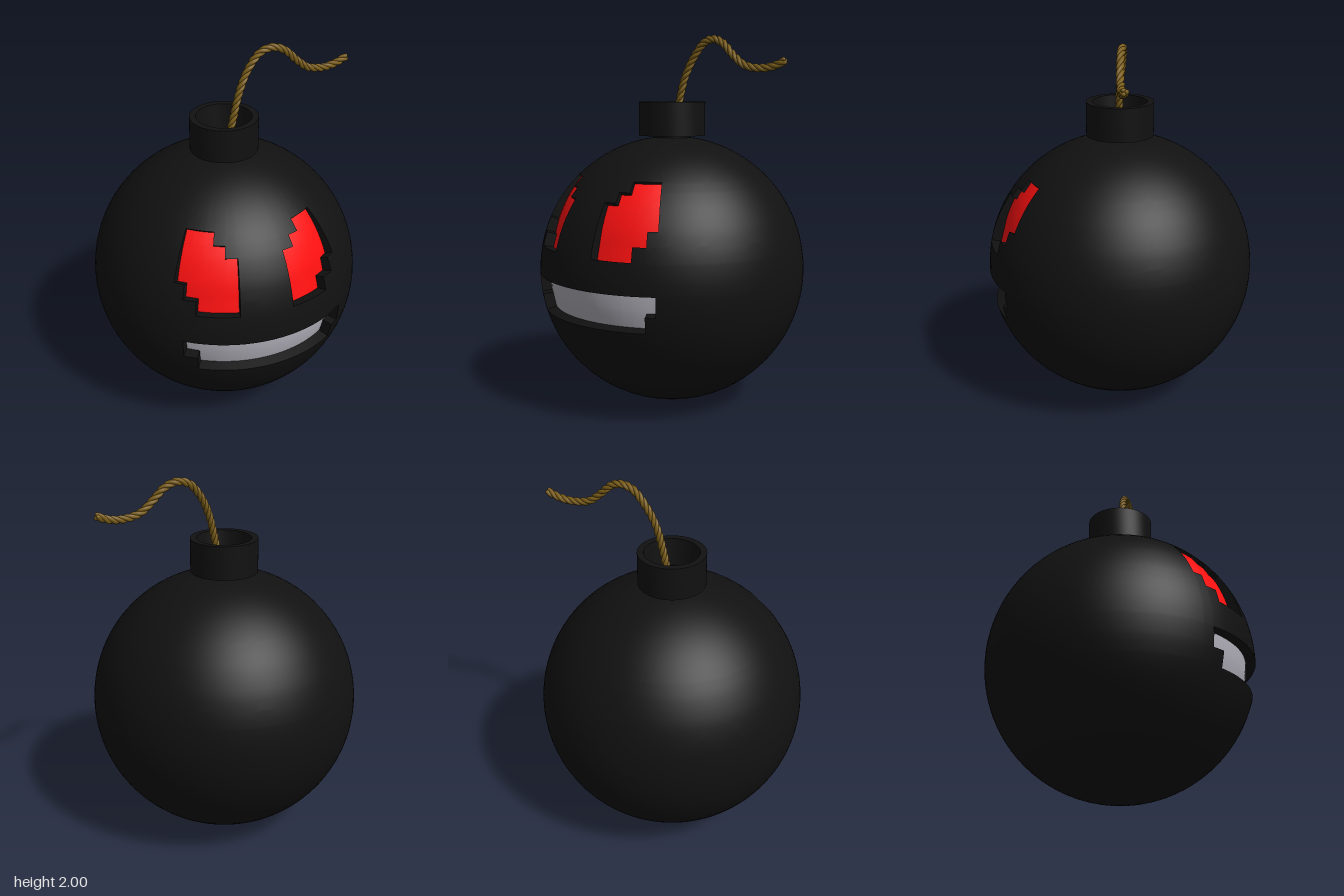
import * as THREE from 'three';
import { toCreasedNormals } from 'three/addons/utils/BufferGeometryUtils.js';

const R = 0.732, CY = 0.733;

// Stepped face openings as blocks of [lon0, lon1, lat0, lat1] in degrees
const eyeCols = [11.4, 17.6, 23.6, 29.5, 35.3, 39.9]; // measured from the face centre line
const FACE = -5.8;
const eyeRows = [ // [inner column, outer column, lat0, lat1]
  [0, 3, 12.1, 18.1],
  [0, 4, 18.1, 24.3],
  [0, 5, 24.3, 35.5],
  [1, 5, 35.5, 40.5],
  [2, 5, 40.5, 46],
];
const eyes = [];
for (const [i, o, a0, a1] of eyeRows) {
  eyes.push([FACE + eyeCols[i], FACE + eyeCols[o], a0, a1]);
  eyes.push([FACE - eyeCols[o], FACE - eyeCols[i], a0, a1]);
}
const mouth = [[-40.5, 33.5, -8.9, -0.7], [-34.7, 29.2, -15.8, -8.9]];

const inside = (blocks, lon, lat) =>
  blocks.some(([l0, l1, a0, a1]) => lon > l0 && lon < l1 && lat > a0 && lat < a1);
const zoneAt = (lon, lat) =>
  inside(eyes, lon, lat) ? 'eyes' : inside(mouth, lon, lat) ? 'mouth' : 'body';

// The recess grows shallower towards the top of the eyes
const floorRadius = lat => 0.678 + 0.037 * THREE.MathUtils.clamp((lat - 18) / 28, 0, 1);

function point(lon, lat, r) {
  const a = THREE.MathUtils.degToRad(lat), l = THREE.MathUtils.degToRad(lon);
  return [r * Math.cos(a) * Math.sin(l), CY + r * Math.sin(a), r * Math.cos(a) * Math.cos(l)];
}

// Even grid lines plus every block edge
function gridLines(min, max, step, edges) {
  const lines = [...edges];
  for (let v = min; v <= max + 1e-6; v += step) {
    if (!edges.some(e => Math.abs(e - v) < 0.6)) lines.push(v);
  }
  return [...new Set(lines.map(v => +v.toFixed(3)))].sort((a, b) => a - b);
}

// Sphere shell with sunken eyes and mouth, returned as one geometry per zone
function buildShell() {
  const blocks = [...eyes, ...mouth];
  const lons = gridLines(-180, 180, 3.75, blocks.flatMap(b => [b[0], b[1]]));
  const lats = gridLines(-90, 90, 3.75, blocks.flatMap(b => [b[2], b[3]]));
  const out = { body: [], eyes: [], mouth: [] };
  const quad = (zone, a, b, c, d) => out[zone].push(...a, ...b, ...c, ...a, ...c, ...d);
  const mid = (v, i) => (v[i] + v[i + 1]) / 2;

  for (let j = 0; j < lats.length - 1; j++) {
    for (let i = 0; i < lons.length - 1; i++) {
      const zone = zoneAt(mid(lons, i), mid(lats, j));
      const corners = [[i, j], [i + 1, j], [i + 1, j + 1], [i, j + 1]]
        .map(([u, v]) => [lons[u], lats[v]]);
      const floor = corners.map(([l, a]) => point(l, a, zone === 'body' ? R : floorRadius(a)));
      quad(zone, ...floor);
      if (zone === 'body') continue;
      // Walls wherever a sunken cell meets the outer skin
      [[0, -1], [1, 0], [0, 1], [-1, 0]].forEach(([di, dj], k) => {
        if (zoneAt(mid(lons, i + di), mid(lats, j + dj)) !== 'body') return;
        const n = (k + 1) % 4;
        quad('body', point(...corners[k], R), point(...corners[n], R), floor[n], floor[k]);
      });
    }
  }
  return out;
}

function geometryFrom(positions) {
  const g = new THREE.BufferGeometry();
  g.setAttribute('position', new THREE.Float32BufferAttribute(positions, 3));
  g.computeVertexNormals();
  return toCreasedNormals(g, 0.6);
}

// Three strands twisted round a curved path
function buildFuse(material) {
  const fuse = new THREE.Group();
  fuse.name = 'fuse';
  const path = new THREE.CatmullRomCurve3([
    [0.02, 1.49, 0.005], [0.055, 1.65, 0.005], [0.09, 1.78, 0], [0.145, 1.89, -0.01],
    [0.21, 1.962, -0.012], [0.275, 1.98, -0.008], [0.34, 1.958, 0], [0.41, 1.895, 0.004],
    [0.48, 1.843, 0.003], [0.57, 1.825, 0], [0.65, 1.833, -0.007], [0.715, 1.857, -0.012],
  ].map(p => new THREE.Vector3(...p)));
  const N = 160, TURNS = 9, STRANDS = 3;
  const frames = path.computeFrenetFrames(N);
  for (let s = 0; s < STRANDS; s++) {
    const pts = [];
    for (let i = 0; i <= N; i++) {
      const a = 2 * Math.PI * (s / STRANDS + TURNS * i / N);
      pts.push(path.getPointAt(i / N)
        .addScaledVector(frames.normals[i], 0.010 * Math.cos(a))
        .addScaledVector(frames.binormals[i], 0.010 * Math.sin(a)));
    }
    const strand = new THREE.Mesh(
      new THREE.TubeGeometry(new THREE.CatmullRomCurve3(pts), 260, 0.0115, 8), material);
    strand.name = 'fuseStrand';
    const tip = new THREE.Mesh(new THREE.SphereGeometry(0.0115, 8, 6), material);
    tip.name = 'fuseTip';
    tip.position.copy(pts[N]);
    fuse.add(strand, tip);
  }
  return fuse;
}

export function createModel() {
  const group = new THREE.Group();
  const mat = color => new THREE.MeshStandardMaterial({ color });
  const black = mat(0x111111);
  const add = (name, geometry, material) => {
    const mesh = new THREE.Mesh(geometry, material);
    mesh.name = name;
    group.add(mesh);
  };

  const shell = buildShell();
  add('body', geometryFrom(shell.body), black);
  add('eyes', geometryFrom(shell.eyes), mat(0xff1010));
  add('mouth', geometryFrom(shell.mouth), mat(0xb4b2bc));

  // Hollow collar on a short stem
  const profile = [
    [0.1, 1.44], [0.1, 1.47], [0.182, 1.47], [0.182, 1.652],
    [0.147, 1.652], [0.132, 1.5], [0, 1.5],
  ].map(p => new THREE.Vector2(...p));
  add('neck', toCreasedNormals(new THREE.LatheGeometry(profile, 64), 0.6), black);

  group.add(buildFuse(mat(0x7d5f1a)));
  return group;
}
